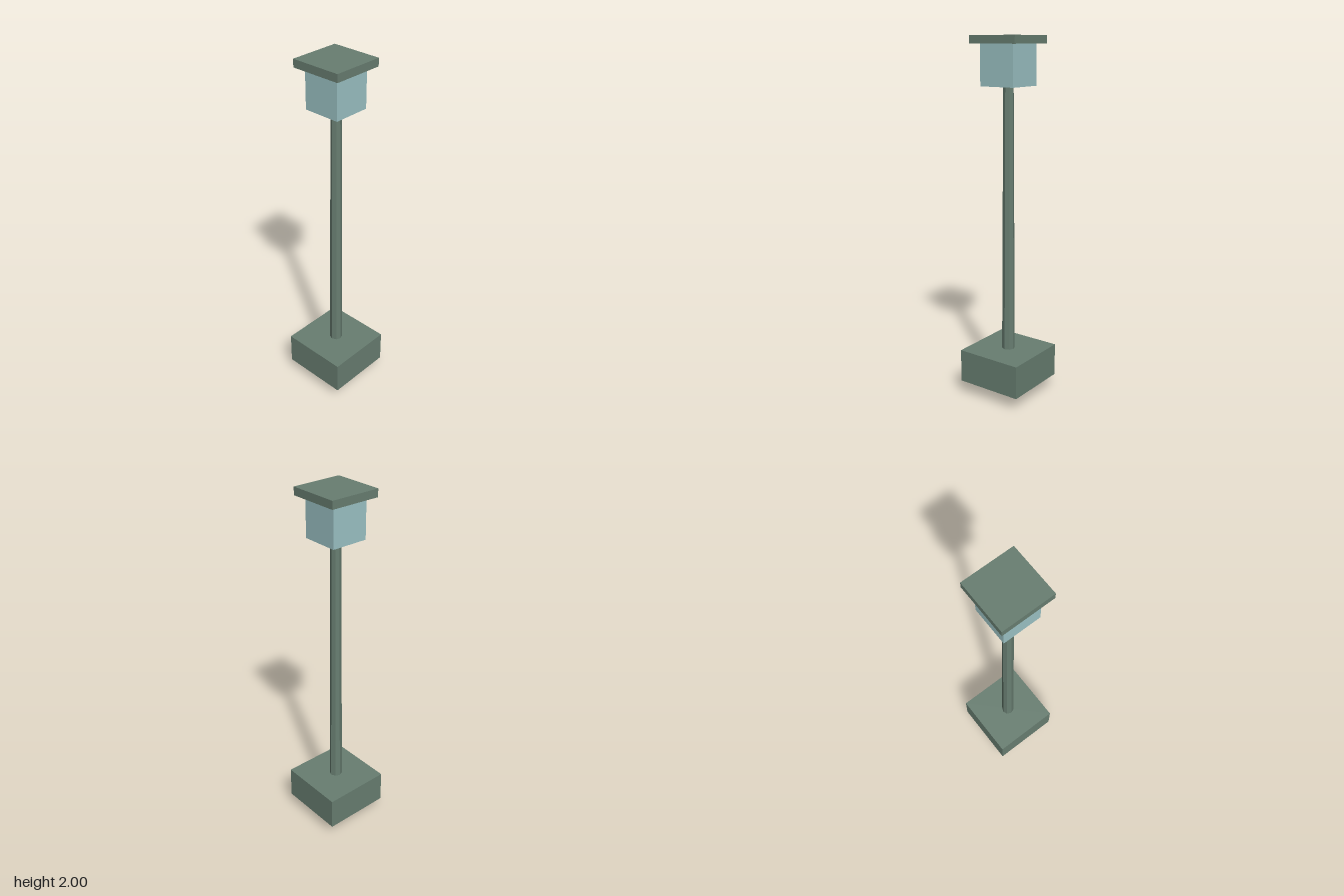
import * as THREE from 'three';

export function createModel() {
  const group = new THREE.Group();
  const paintedMetal = new THREE.MeshStandardMaterial({ color: 0x687e71 });
  const paleGlass = new THREE.MeshStandardMaterial({ color: 0x9bc2c4 });

  // Adds a part that spans the given heights
  function add(name, geometry, material, bottom, top) {
    const mesh = new THREE.Mesh(geometry, material);
    mesh.name = name;
    mesh.position.y = (bottom + top) / 2;
    group.add(mesh);
  }
  function addBlock(name, width, bottom, top, material) {
    add(name, new THREE.BoxGeometry(width, top - bottom, width), material, bottom, top);
  }

  // Tapered eight-sided post, its foot showing below the base block
  const postTop = 1.745;
  const post = new THREE.CylinderGeometry(0.028, 0.038, postTop, 8).toNonIndexed();
  post.computeVertexNormals();
  add('post', post, paintedMetal, 0, postTop);

  // Base block, lantern and overhanging cap
  addBlock('base', 0.385, 0.078, 0.265, paintedMetal);
  addBlock('lantern', 0.21, 1.74, 1.957, paleGlass);
  addBlock('cap', 0.288, 1.957, 2, paintedMetal);

  return group;
}
